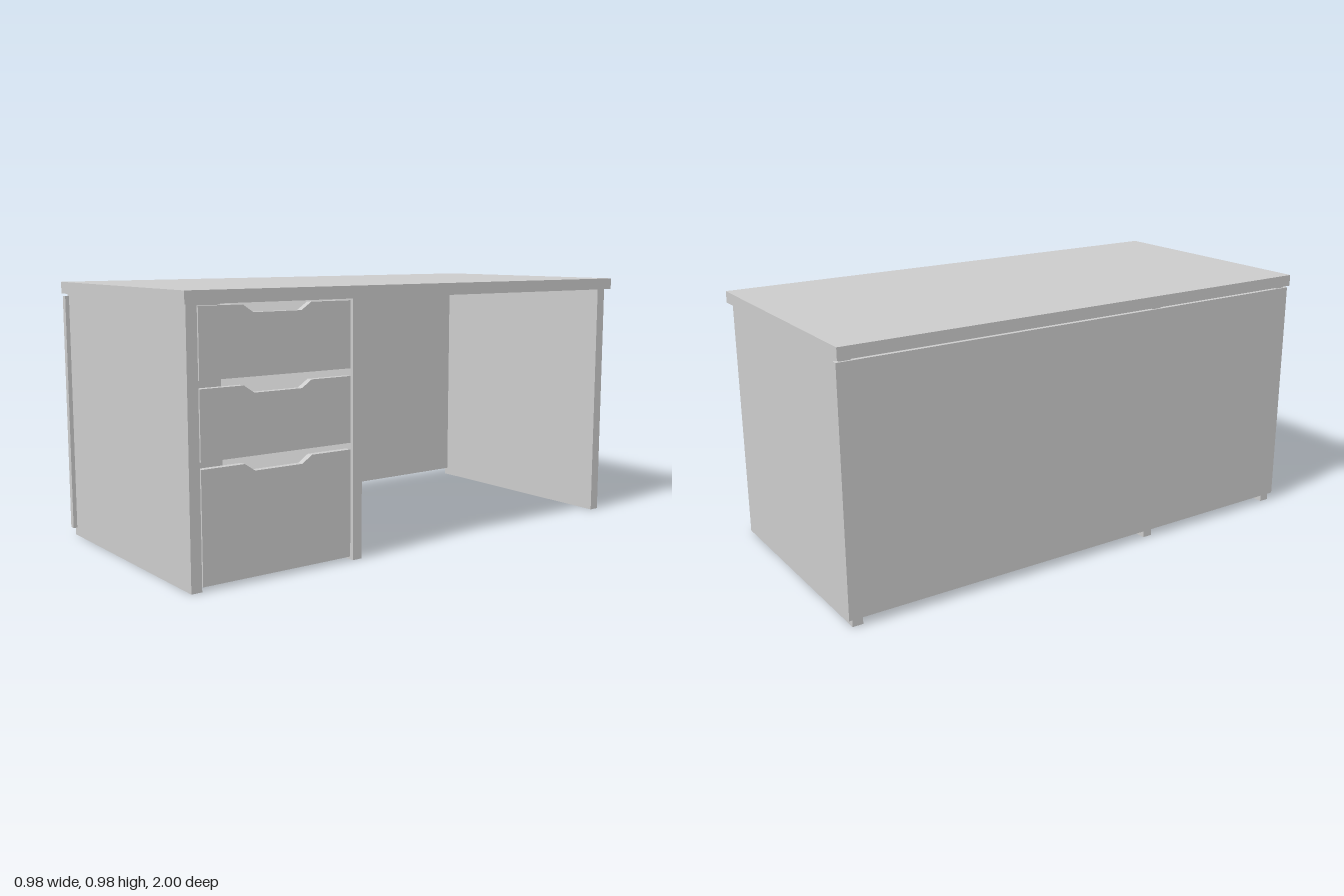
import * as THREE from 'three';

const material = new THREE.MeshStandardMaterial({ color: 0xcccccc });

// Box given by its minimum and maximum on each axis
function panel(name, [x0, x1], [y0, y1], [z0, z1]) {
  const mesh = new THREE.Mesh(new THREE.BoxGeometry(x1 - x0, y1 - y0, z1 - z0), material);
  mesh.position.set((x0 + x1) / 2, (y0 + y1) / 2, (z0 + z1) / 2);
  mesh.name = name;
  return mesh;
}

// Drawer front facing +x, with a finger notch cut into its top edge
function drawerFront(bottom, top) {
  const notch = top - 0.027;
  const shape = new THREE.Shape([
    [0.34, bottom], [0.94, bottom], [0.94, top], [0.775, top],
    [0.735, notch], [0.545, notch], [0.505, top], [0.34, top],
  ].map(([z, y]) => new THREE.Vector2(z, y)));
  const geometry = new THREE.ExtrudeGeometry(shape, { depth: 0.025, bevelEnabled: false });
  geometry.rotateY(-Math.PI / 2).translate(0.464, 0, 0);
  return new THREE.Mesh(geometry, material);
}

export function createModel() {
  const desk = new THREE.Group();
  desk.name = 'desk';

  // Worktop and long modesty panel
  desk.add(panel('worktop', [-0.488, 0.488], [0.94, 0.984], [-1, 1]));
  desk.add(panel('backPanel', [-0.476, -0.453], [0.03, 0.931], [-1, 1]));

  // Upright panels: two ends and the inner side of the drawer unit
  const uprights = { frontEndPanel: 0.965, drawerSidePanel: 0.31, rearEndPanel: -0.965 };
  for (const [name, z] of Object.entries(uprights)) {
    desk.add(panel(name, [-0.468, 0.466], [0, 0.94], [z - 0.02, z + 0.02]));
  }

  // Drawer fronts, open behind and below
  const drawers = { topDrawer: [0.695, 0.933], middleDrawer: [0.43, 0.668], bottomDrawer: [0.015, 0.406] };
  for (const [name, [bottom, top]] of Object.entries(drawers)) {
    const front = drawerFront(bottom, top);
    front.name = name;
    desk.add(front);
  }
  return desk;
}
